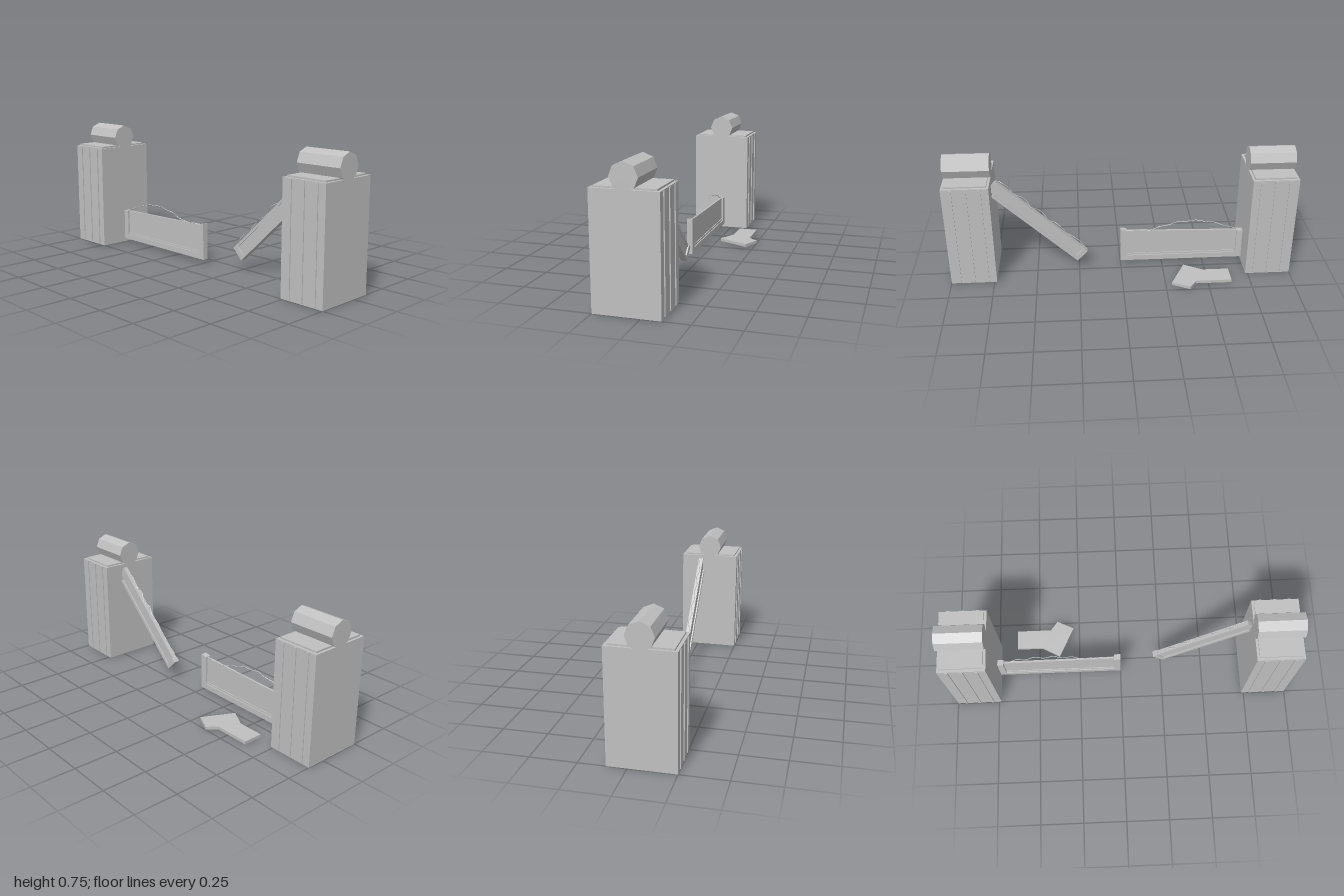
import * as THREE from 'three';

const stone = new THREE.MeshStandardMaterial({ color: 0xc0c0c0 });
stone.name = 'plain grey';
stone.flatShading = true;

function add(parent, name, geometry, x = 0, y = 0, z = 0) {
  const mesh = new THREE.Mesh(geometry, stone);
  mesh.name = name;
  mesh.position.set(x, y, z);
  parent.add(mesh);
  return mesh;
}

// Outline in x and y, extruded from z0 to z1
function plate(parent, name, points, z0, z1) {
  const shape = new THREE.Shape(points.map(([x, y]) => new THREE.Vector2(x, y)));
  const geometry = new THREE.ExtrudeGeometry(shape, { depth: z1 - z0, bevelEnabled: false });
  return add(parent, name, geometry, 0, 0, z0);
}

function rope(parent, points, radius) {
  const curve = new THREE.CatmullRomCurve3(points.map(p => new THREE.Vector3(...p)));
  return add(parent, 'rope', new THREE.TubeGeometry(curve, 72, radius, 4));
}

// Gate post with slats front and back, cap slab and roller on top
function makePillar(x) {
  const pillar = new THREE.Group();
  pillar.name = 'pillar';
  pillar.position.set(x, 0, 0.072);
  add(pillar, 'body', new THREE.BoxGeometry(0.264, 0.618, 0.355), 0, 0.309, 0);
  for (const side of [-1, 1]) {
    for (const sx of [-0.081, 0, 0.081]) {
      add(pillar, 'slat', new THREE.BoxGeometry(0.016, 0.608, 0.012), sx, 0.31, side * 0.177);
    }
  }
  add(pillar, 'capSlab', new THREE.BoxGeometry(0.236, 0.02, 0.322), 0, 0.617, 0);
  const roller = new THREE.CylinderGeometry(0.073, 0.073, 0.264, 8);
  roller.rotateZ(Math.PI / 2);
  add(pillar, 'roller', roller, 0, 0.677, 0);
  return pillar;
}

// Low barrier with a recessed panel and a loose rope along its top
function makeBarrier() {
  const barrier = new THREE.Group();
  barrier.name = 'barrier';
  const z0 = 0.049, z1 = 0.083;
  plate(barrier, 'bottomRail', [[-0.7, 0.02], [-0.038, 0.02], [-0.038, 0.053], [-0.7, 0.053]], z0, z1);
  plate(barrier, 'railStep', [[-0.7, 0.053], [-0.038, 0.053], [-0.038, 0.064], [-0.7, 0.064]], z0 + 0.006, z1 - 0.006);
  plate(barrier, 'panel', [[-0.7, 0.064], [-0.038, 0.064], [-0.038, 0.222], [-0.7, 0.206]], z0 + 0.011, z1 - 0.011);
  plate(barrier, 'innerPost', [[-0.737, 0.02], [-0.7, 0.02], [-0.7, 0.206], [-0.737, 0.204]], z0, z1);
  plate(barrier, 'outerPost', [[-0.038, 0.02], [0, 0.02], [0, 0.235], [-0.038, 0.226]], z0, z1);

  const points = [];
  for (let i = 0; i <= 24; i++) {
    const t = i / 24;
    const arch = t < 0.78 ? 0.062 * Math.sin(Math.PI * t / 0.78) : 0;
    points.push([-0.7 + 0.66 * t, 0.207 + 0.016 * t + arch, 0.066 + 0.005 * Math.sin(i * Math.PI / 2)]);
  }
  rope(barrier, points, 0.0022);
  return barrier;
}

// Raised beam leaning against the other pillar
function makeBeam() {
  const beam = new THREE.Group();
  beam.name = 'raisedBeam';
  beam.position.set(0.26, 0.059, 0);
  beam.rotation.z = 0.755;
  const length = 0.7, height = 0.088, z0 = 0.002, z1 = 0.037;
  plate(beam, 'lowerRail', [[0, 0], [0.655, 0], [0.655, 0.018], [0, 0.018]], z0, z1);
  plate(beam, 'panel', [[0.03, 0.018], [length, 0.018], [length, 0.08], [0.03, 0.08]], z0 + 0.008, z1 - 0.008);
  plate(beam, 'upperRail', [[0.03, 0.074], [length, 0.074], [length, height], [0.03, height]], z0 + 0.004, z1 - 0.004);
  plate(beam, 'endPost', [[0, 0.018], [0.03, 0.018], [0.03, height], [0, height]], z0, z1);

  const points = [];
  for (let i = 0; i <= 24; i++) {
    const lift = 0.006 + 0.014 * Math.abs(Math.sin(i * Math.PI / 5));
    points.push([0.03 + 0.655 * i / 24, height + lift - 0.003, 0.02 + 0.006 * Math.sin(i * Math.PI / 2)]);
  }
  rope(beam, points, 0.0022);
  return beam;
}

export function createModel() {
  const model = new THREE.Group();
  model.name = 'brokenGate';
  model.add(makePillar(-0.868), makePillar(0.868), makeBarrier(), makeBeam());

  // Bent fragment lying on the ground behind the barrier
  const outline = [[-0.636, 0.083], [-0.481, 0.083], [-0.374, 0.024], [-0.285, 0.206],
    [-0.386, 0.254], [-0.428, 0.198], [-0.636, 0.198]];
  const fragment = plate(model, 'fallenBoard', outline, 0, 0.018);
  fragment.rotation.x = -Math.PI / 2;
  fragment.position.set(0, 0.004, 0);
  return model;
}
